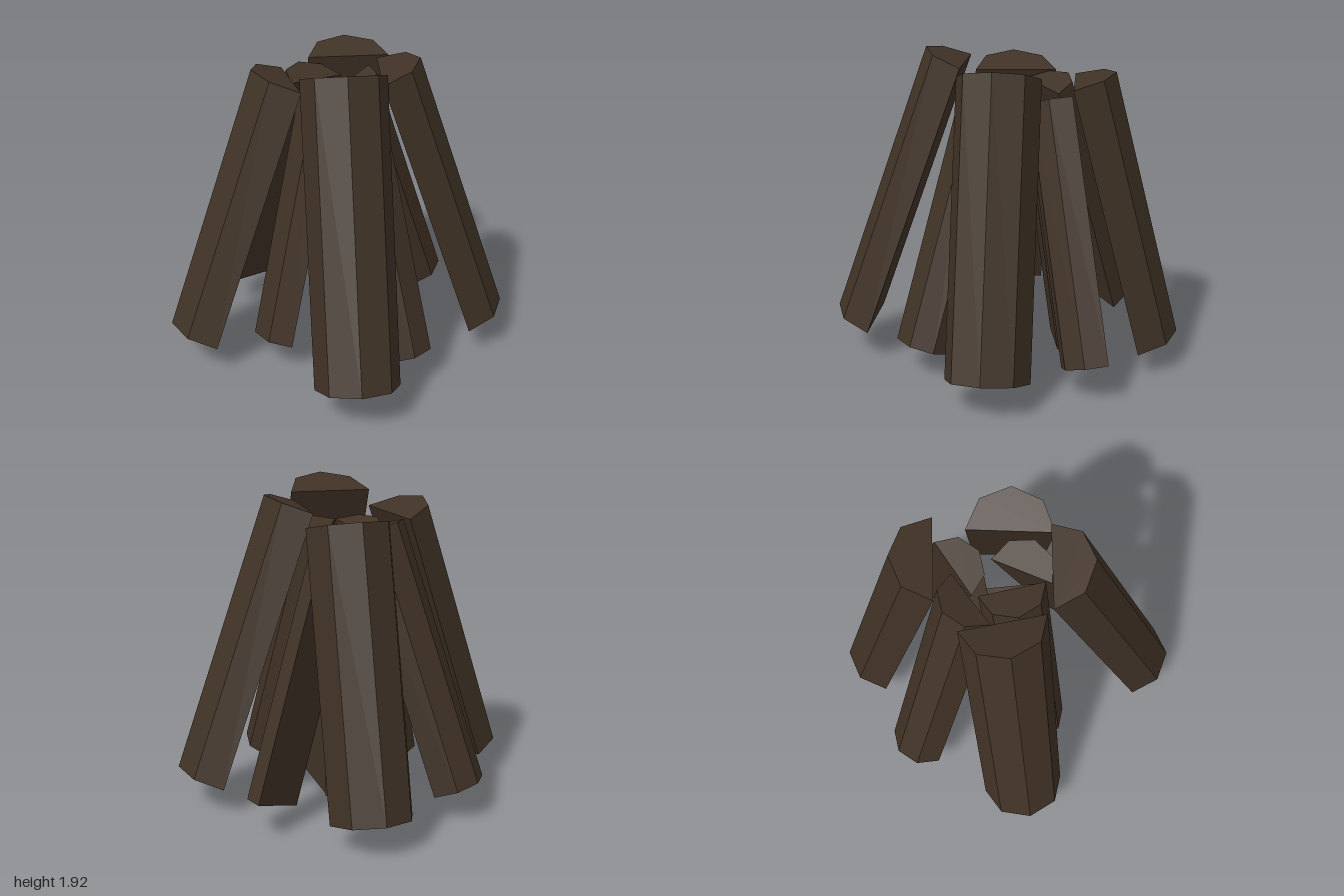
import * as THREE from 'three';

const material = new THREE.MeshStandardMaterial({ color: 0x403226, flatShading: true });

// A split log: half an octagon, its flat face turned to the middle of the pile.
// bottom and top are the ends of the flat face's centre line; facing = [x, z] of the bark side.
function makeLog(name, bottom, top, radius, facing) {
  const points = [0, 1, 2, 3, 4].map((i) => {
    const a = (i * Math.PI) / 4;
    return new THREE.Vector2(Math.cos(a) * radius, Math.sin(a) * radius);
  });
  const start = new THREE.Vector3(...bottom);
  const axis = new THREE.Vector3(...top).sub(start);
  const length = axis.length();
  axis.normalize();
  const out = new THREE.Vector3(facing[0], 0, facing[1]);
  out.addScaledVector(axis, -out.dot(axis)).normalize();
  const side = new THREE.Vector3().crossVectors(out, axis);

  const geometry = new THREE.ExtrudeGeometry(new THREE.Shape(points), { depth: length, bevelEnabled: false });
  geometry.applyMatrix4(new THREE.Matrix4().makeBasis(side, out, axis).setPosition(start));
  const mesh = new THREE.Mesh(geometry, material);
  mesh.name = name;
  return mesh;
}

export function createModel() {
  const group = new THREE.Group();
  group.name = 'logPile';
  const logs = [
    // Large outer logs
    ['frontLog', [0.38, 0.19, 0.75], [0.10, 1.84, 0.23], 0.246, [0.44, 0.90]],
    ['frontRightLog', [-0.70, 0.17, 0.455], [-0.27, 1.74, 0.11], 0.246, [-0.80, 0.59]],
    ['backLog', [-0.29, 0.155, -0.755], [-0.10, 1.75, -0.39], 0.246, [-0.46, -0.89]],
    ['leftLog', [0.715, 0.17, -0.31], [0.21, 1.79, -0.07], 0.246, [0.92, -0.40]],
    // Thinner logs between them
    ['rightLog', [-0.71, 0.18, -0.265], [-0.20, 1.68, -0.115], 0.19, [-0.87, -0.49]],
    ['backLeftLog', [0.25, 0.19, -0.725], [-0.065, 1.63, -0.29], 0.18, [0.89, 0.46]],
    ['frontLeftLog', [0.485, 0.17, 0.27], [0.08, 1.64, 0.06], 0.19, [1, 0.02]],
    ['innerFrontLog', [-0.25, 0.165, 0.33], [-0.045, 1.66, 0.06], 0.19, [-0.80, 0.60]],
    // Steep logs in the middle
    ['centreLog', [0.16, 0.02, 0.01], [0.05, 1.42, 0], 0.215, [-0.87, 0.50]],
    ['innerBackLog', [-0.11, 0.10, -0.27], [-0.06, 1.45, -0.08], 0.18, [-0.60, -0.80]],
  ];
  for (const log of logs) group.add(makeLog(...log));
  return group;
}
